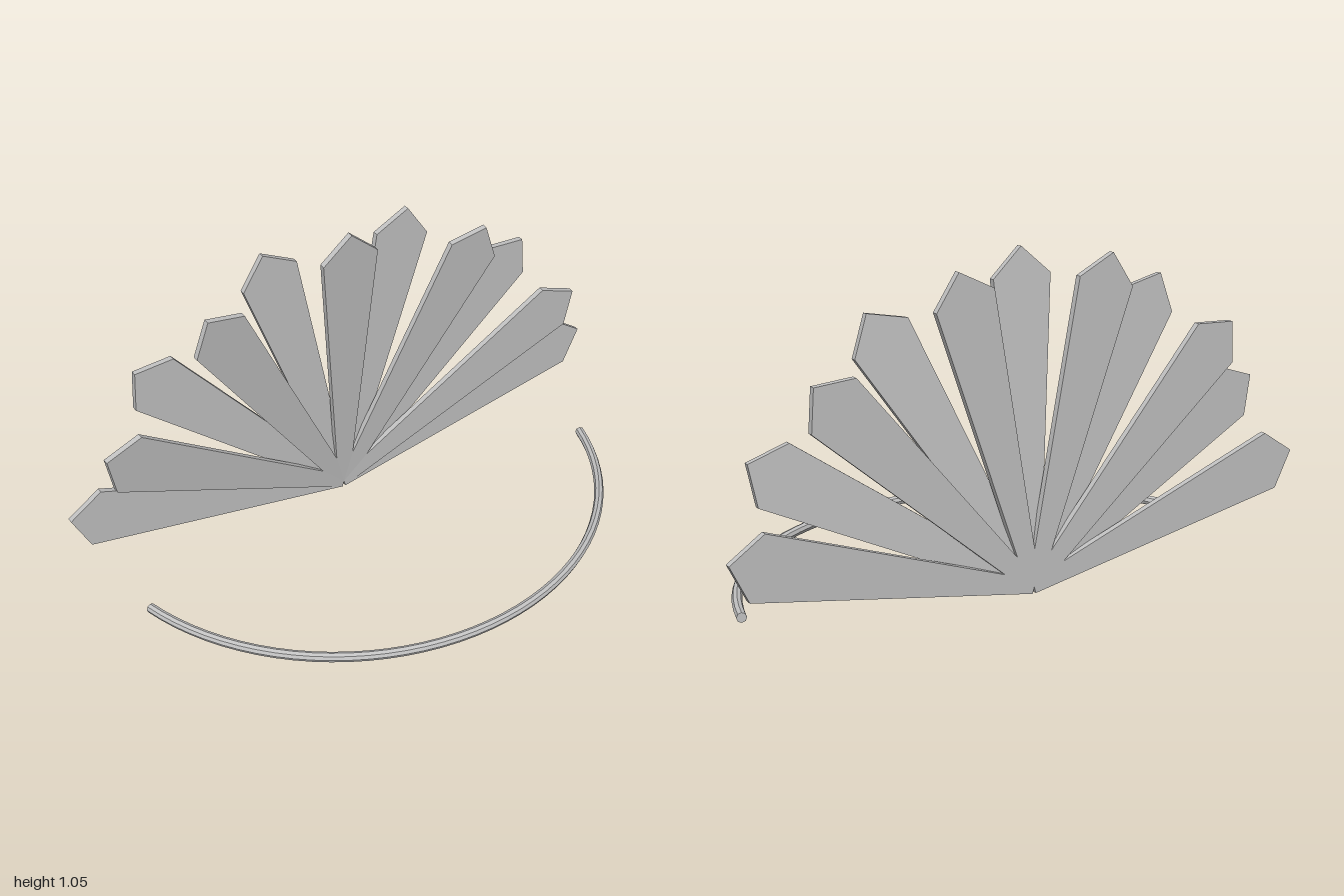
import * as THREE from 'three';

const rad = THREE.MathUtils.degToRad;

export function createModel() {
  const model = new THREE.Group();
  model.name = 'bladeFan';
  const grey = new THREE.MeshStandardMaterial({ color: 0xc2c2c2, flatShading: true });
  grey.name = 'lightGrey';
  const pivotZ = -0.447;

  // One tapered blade with a pointed tip, growing up from its pivot
  const outline = new THREE.Shape([
    [-0.022, 0], [0.022, 0], [0.1, 0.947], [0, 1.035], [-0.1, 0.947],
  ].map(([x, y]) => new THREE.Vector2(x, y)));
  const bladeGeometry = new THREE.ExtrudeGeometry(outline, { depth: 0.02, bevelEnabled: false });
  bladeGeometry.translate(0, 0, -0.01);

  // Fan of eleven blades; every other one leans forward
  const fan = new THREE.Group();
  fan.name = 'fan';
  fan.position.set(0, 0.0215, pivotZ);
  for (let i = -5; i <= 5; i++) {
    const blade = new THREE.Mesh(bladeGeometry, grey);
    blade.name = i % 2 === 0 ? 'leaningBlade' : 'uprightBlade';
    blade.rotation.order = 'ZXY';
    blade.rotation.z = rad(-15 * i);
    blade.rotation.x = i % 2 === 0 ? rad(5) : 0;
    fan.add(blade);
  }
  model.add(fan);

  // Curved rail lying in front of the fan, with closed ends
  const R = 0.888, r = 0.016, arc = rad(150);
  const rail = new THREE.Group();
  rail.name = 'frontRail';
  const bar = new THREE.Mesh(new THREE.TorusGeometry(R, r, 8, 40, arc), grey);
  bar.name = 'railBar';
  rail.add(bar);
  for (const [turn, angle] of [[Math.PI / 2, 0], [-Math.PI / 2, arc]]) {
    const geometry = new THREE.CircleGeometry(r, 8);
    geometry.rotateX(turn).translate(R, 0, 0).rotateZ(angle);
    const cap = new THREE.Mesh(geometry, grey);
    cap.name = 'railEnd';
    rail.add(cap);
  }
  rail.rotation.order = 'XYZ';
  rail.rotation.set(Math.PI / 2, 0, rad(15));
  rail.position.set(0, 0.0245, pivotZ);
  model.add(rail);

  return model;
}
